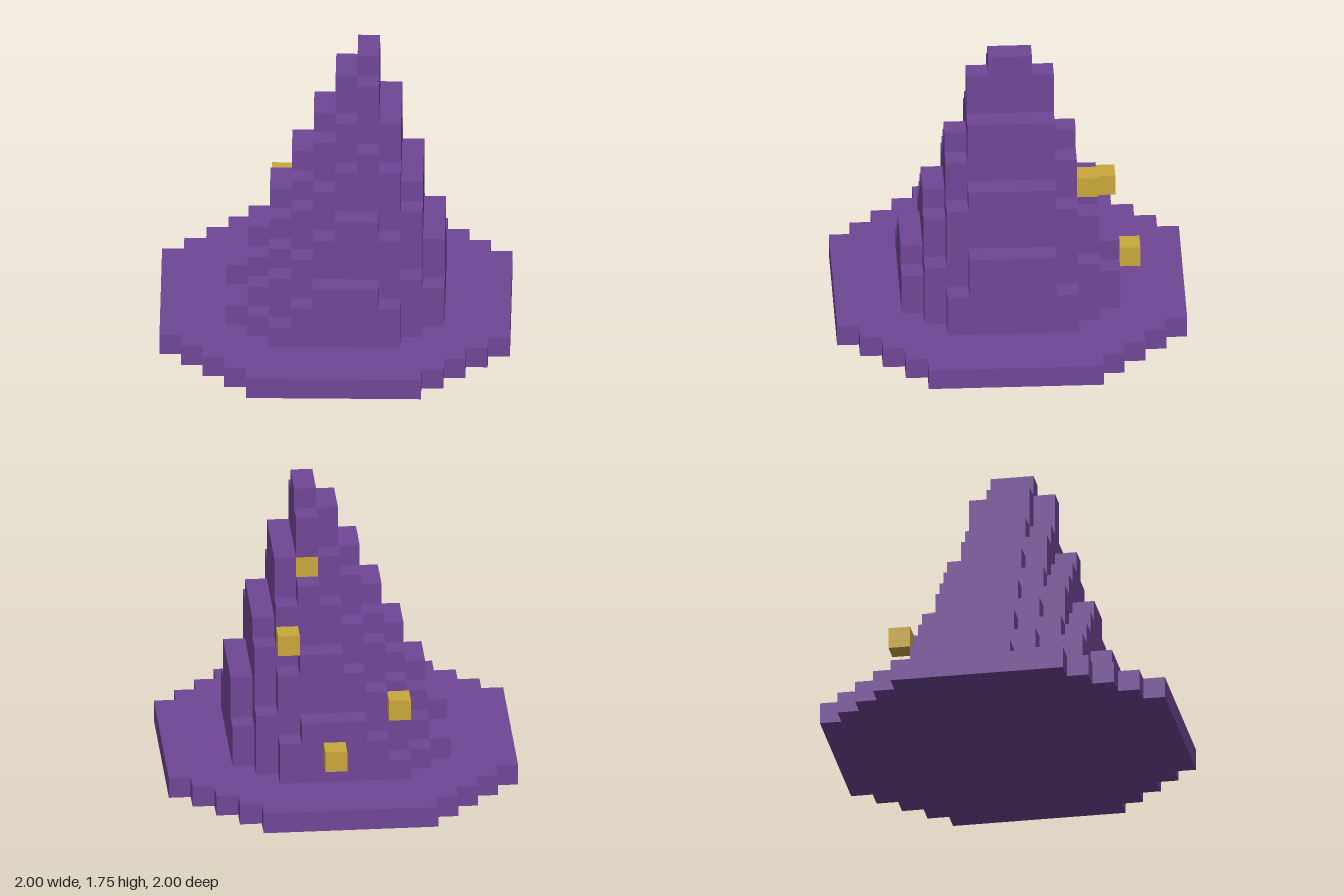
import * as THREE from 'three';

const UNIT = 0.125; // edge of one block

// Half-width of the brim for each block row |z|, from the middle outwards
const BRIM = [8, 8, 8, 8, 7, 6, 5, 4];

// Leaning cone: one line per layer, each [xMin, xMax] is a row |z| from the middle outwards
const CONE = [
  [[-5, 5], [-5, 5], [-5, 5], [-4, 4], [-3, 3]],
  [[-5, 5], [-4, 5], [-4, 5], [-3, 4], [-2, 3]],
  [[-4, 5], [-4, 5], [-3, 4], [-3, 4], [-1, 2]],
  [[-4, 5], [-3, 5], [-3, 4], [-2, 3]],
  [[-3, 4], [-3, 4], [-2, 4], [-1, 3]],
  [[-3, 4], [-2, 4], [-2, 4], [0, 2]],
  [[-2, 4], [-2, 4], [-1, 3]],
  [[-2, 3], [-1, 3], [0, 3]],
  [[-1, 3], [-1, 3], [1, 2]],
  [[-1, 3], [0, 3]],
  [[0, 2], [1, 2]],
  [[0, 2], [1, 2]],
  [[1, 2]],
];

// Gold blocks on the back, as block coordinates
const STUDS = [[0, 2, -6], [-3, 4, -5], [2, 7, -4], [1, 10, -2]];

export function createModel() {
  const purple = new THREE.MeshStandardMaterial({ color: 0x704696 });
  purple.name = 'purple felt';
  const gold = new THREE.MeshStandardMaterial({ color: 0xc9a83a });
  gold.name = 'gold';

  // Every block remembers which part it belongs to
  const blocks = new Map();
  const put = (x, y, z, part) => blocks.set(`${x},${y},${z}`, { p: [x, y, z], part });
  const putRow = (x0, x1, y, row, part) => {
    for (let x = x0; x < x1; x++) {
      put(x, y, row, part);
      put(x, y, -row - 1, part);
    }
  };
  BRIM.forEach((w, row) => putRow(-w, w, 0, row, 'brim'));
  CONE.forEach((layer, i) =>
    layer.forEach(([x0, x1], row) => putRow(x0, x1, i + 1, row, 'cone')));
  STUDS.forEach(([x, y, z]) => put(x, y, z, 'goldStuds'));

  // Only the faces with no neighbouring block are built
  function shell(part) {
    const pos = [], nor = [], idx = [];
    for (const b of blocks.values()) {
      if (b.part !== part) continue;
      for (let axis = 0; axis < 3; axis++) {
        for (const side of [-1, 1]) {
          const n = [0, 0, 0];
          n[axis] = side;
          if (blocks.has(b.p.map((v, i) => v + n[i]).join())) continue;
          const start = pos.length / 3;
          for (const [u, v] of [[0, 0], [1, 0], [1, 1], [0, 1]]) {
            const c = [...b.p];
            c[axis] += side > 0 ? 1 : 0;
            c[(axis + 1) % 3] += u;
            c[(axis + 2) % 3] += v;
            pos.push(...c.map((k) => k * UNIT));
            nor.push(...n);
          }
          const order = side > 0 ? [0, 1, 2, 0, 2, 3] : [0, 2, 1, 0, 3, 2];
          idx.push(...order.map((k) => start + k));
        }
      }
    }
    const geo = new THREE.BufferGeometry();
    geo.setAttribute('position', new THREE.Float32BufferAttribute(pos, 3));
    geo.setAttribute('normal', new THREE.Float32BufferAttribute(nor, 3));
    geo.setIndex(idx);
    return geo;
  }

  const hat = new THREE.Group();
  hat.name = 'pointedHat';
  for (const [part, material] of [['brim', purple], ['cone', purple], ['goldStuds', gold]]) {
    const mesh = new THREE.Mesh(shell(part), material);
    mesh.name = part;
    hat.add(mesh);
  }
  return hat;
}
